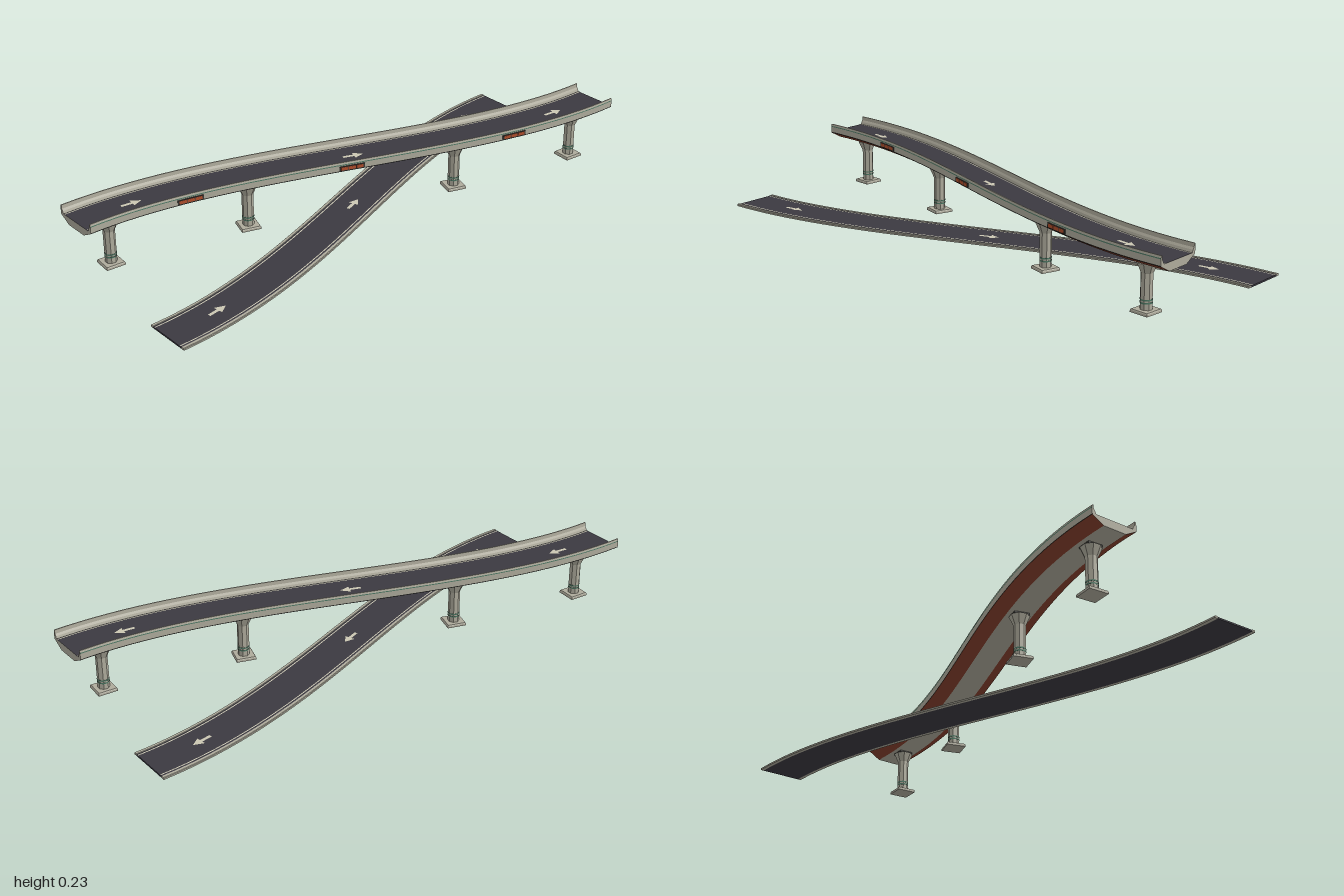
import * as THREE from 'three';

const mat = (name, color) => Object.assign(new THREE.MeshStandardMaterial({ color }), { name });

export function createModel() {
  const concrete = mat('concrete', 0xaeab9c);
  const asphalt = mat('asphalt', 0x3b3941);
  const paint = mat('road paint', 0xcbc7b2);
  const rust = mat('rust girder', 0x85402c);
  const green = mat('green trim', 0x4f7a66);
  const dark = mat('dark steel', 0x3a3a36);
  const orange = mat('sign orange', 0xb04e2c);

  const model = new THREE.Group();
  const SEG = 40;

  // S-shaped centre line; side = 1 for the bridge, -1 for the ground road
  function frame(z, side) {
    const x = -0.25 * side * (1.5 * z - 0.5 * z ** 3);
    const slope = -0.25 * side * (1.5 - 1.5 * z * z);
    const l = Math.hypot(slope, 1);
    return { x, z, rx: 1 / l, rz: -slope / l, angle: Math.atan2(slope, 1) };
  }

  // Sweep an open run of (offset, height) points along a road, with crisp edges
  function sweep(name, pts, side, material, parent) {
    const pos = [], idx = [];
    for (let e = 0; e < pts.length - 1; e++) {
      const base = pos.length / 3;
      for (let i = 0; i <= SEG; i++) {
        const f = frame(1 - (2 * i) / SEG, side);
        for (const [u, y] of [pts[e], pts[e + 1]]) pos.push(f.x + u * f.rx, y, f.z + u * f.rz);
        if (i < SEG) {
          const a = base + i * 2;
          idx.push(a, a + 2, a + 3, a, a + 3, a + 1);
        }
      }
    }
    const g = new THREE.BufferGeometry();
    g.setAttribute('position', new THREE.Float32BufferAttribute(pos, 3));
    g.setIndex(idx);
    g.computeVertexNormals();
    const mesh = new THREE.Mesh(g, material);
    mesh.name = name;
    parent.add(mesh);
  }

  // Mirror a right-hand run across the centre line, keeping its facing
  const mirror = (pts) => pts.map(([u, y]) => [-u, y]).reverse();
  function both(name, pts, side, material, parent) {
    sweep(name + 'Left', pts, side, material, parent);
    sweep(name + 'Right', mirror(pts), side, material, parent);
  }

  // Flat end faces at both ends of a road
  function caps(name, pts, side, material, parent) {
    for (const end of [1, -1]) {
      const shape = new THREE.Shape(pts.map(([u, y]) => new THREE.Vector2(u * end, y)));
      const cap = new THREE.Mesh(new THREE.ShapeGeometry(shape), material);
      if (end < 0) cap.rotation.y = Math.PI;
      cap.position.set(frame(end, side).x, 0, end);
      cap.name = name;
      parent.add(cap);
    }
  }

  // Group standing on a road's centre line and turned to follow it
  function station(name, z, side, y, parent) {
    const f = frame(z, side);
    const g = new THREE.Group();
    g.name = name;
    g.position.set(f.x, y, z);
    g.rotation.y = f.angle;
    parent.add(g);
    return g;
  }

  function add(parent, name, geometry, material, x = 0, y = 0, z = 0) {
    const mesh = new THREE.Mesh(geometry, material);
    mesh.name = name;
    mesh.position.set(x, y, z);
    parent.add(mesh);
    return mesh;
  }

  // Lane lines and direction arrows
  const arrowShape = new THREE.Shape([
    [-0.006, -0.038], [0.006, -0.038], [0.006, 0.003], [0.019, 0.003],
    [0, 0.038], [-0.019, 0.003], [-0.006, 0.003],
  ].map(([x, y]) => new THREE.Vector2(x, y)));
  const arrowGeometry = new THREE.ShapeGeometry(arrowShape).rotateX(-Math.PI / 2);
  function markings(side, y, parent) {
    both('laneLine', [[0.0705, y + 0.001], [0.0665, y + 0.001]], side, paint, parent);
    for (const z of [0.79, 0, -0.79]) {
      add(station('arrow', z, side, y + 0.001, parent), 'directionArrow', arrowGeometry, paint);
    }
  }

  // Ground road
  const ground = new THREE.Group();
  ground.name = 'groundRoad';
  model.add(ground);
  sweep('groundAsphalt', [[0.077, 0.006], [-0.077, 0.006]], -1, asphalt, ground);
  sweep('groundUnderside', [[-0.077, 0], [0.077, 0]], -1, asphalt, ground);
  const curb = [[0.077, 0], [0.09, 0], [0.09, 0.006], [0.088, 0.008], [0.078, 0.008], [0.077, 0.006]];
  both('curb', curb, -1, concrete, ground);
  caps('curbEnd', curb, -1, concrete, ground);
  caps('curbEnd', mirror(curb), -1, concrete, ground);
  caps('groundRoadEnd', [[-0.077, 0], [0.077, 0], [0.077, 0.006], [-0.077, 0.006]], -1, asphalt, ground);
  markings(-1, 0.006, ground);

  // Bridge deck with sloped girders and parapets
  const bridge = new THREE.Group();
  bridge.name = 'bridge';
  model.add(bridge);
  const inner = [[0.088, 0.235], [0.0845, 0.235], [0.083, 0.221], [0.078, 0.214], [0.0745, 0.205]];
  sweep('deckUnderside', [[-0.045, 0.175], [0.045, 0.175]], 1, concrete, bridge);
  both('girderSlope', [[0.045, 0.175], [0.09, 0.2]], 1, rust, bridge);
  both('shadowGap', [[0.09, 0.2], [0.09, 0.203]], 1, dark, bridge);
  both('parapetWall', [[0.09, 0.203], [0.09, 0.224]], 1, concrete, bridge);
  both('parapetTrim', [[0.09, 0.224], [0.09, 0.2275]], 1, green, bridge);
  both('parapetTop', [[0.09, 0.2275], ...inner], 1, concrete, bridge);
  sweep('bridgeAsphalt', [[0.0745, 0.205], [-0.0745, 0.205]], 1, asphalt, bridge);
  const half = [[0.045, 0.175], [0.09, 0.2], [0.09, 0.2275], ...inner];
  caps('bridgeEnd', [...half, ...mirror(half)], 1, concrete, bridge);
  markings(1, 0.205, bridge);

  // Sign panels along the left parapet
  for (const z of [0.61, 0.035, -0.56]) {
    const sign = station('sign', z, 1, 0.2125, bridge);
    add(sign, 'signFrame', new THREE.BoxGeometry(0.005, 0.017, 0.095), dark, 0.091);
    for (let i = -1; i <= 1; i++) {
      add(sign, 'signPanel', new THREE.BoxGeometry(0.002, 0.012, 0.026), orange, 0.0935, 0, i * 0.029);
    }
  }

  // Octagonal piers on square footings
  const lathe = (pts) => new THREE.LatheGeometry(pts.map(([r, y]) => new THREE.Vector2(r, y)), 8)
    .rotateY(Math.PI / 8).toNonIndexed();
  const pierGeometry = lathe([[0.021, 0.01], [0.021, 0.133], [0.0365, 0.168], [0, 0.168]]);
  pierGeometry.computeVertexNormals();
  const bandGeometry = new THREE.CylinderGeometry(0.0218, 0.0218, 0.005, 8).rotateY(Math.PI / 8);
  const footing = new THREE.CylinderGeometry(0.0475, 0.051, 0.004, 4).rotateY(Math.PI / 4).toNonIndexed();
  footing.computeVertexNormals();
  for (const z of [0.88, 0.375, -0.375, -0.88]) {
    const pier = station('pier', z, 1, 0, bridge);
    add(pier, 'footing', new THREE.BoxGeometry(0.072, 0.007, 0.072), concrete, 0, 0.0035);
    add(pier, 'footingBevel', footing, concrete, 0, 0.009);
    add(pier, 'pierShaft', pierGeometry, concrete);
    for (const y of [0.034, 0.044]) add(pier, 'pierBand', bandGeometry, green, 0, y);
    add(pier, 'bearing', new THREE.BoxGeometry(0.054, 0.008, 0.05), dark, 0, 0.1715);
  }
  return model;
}
